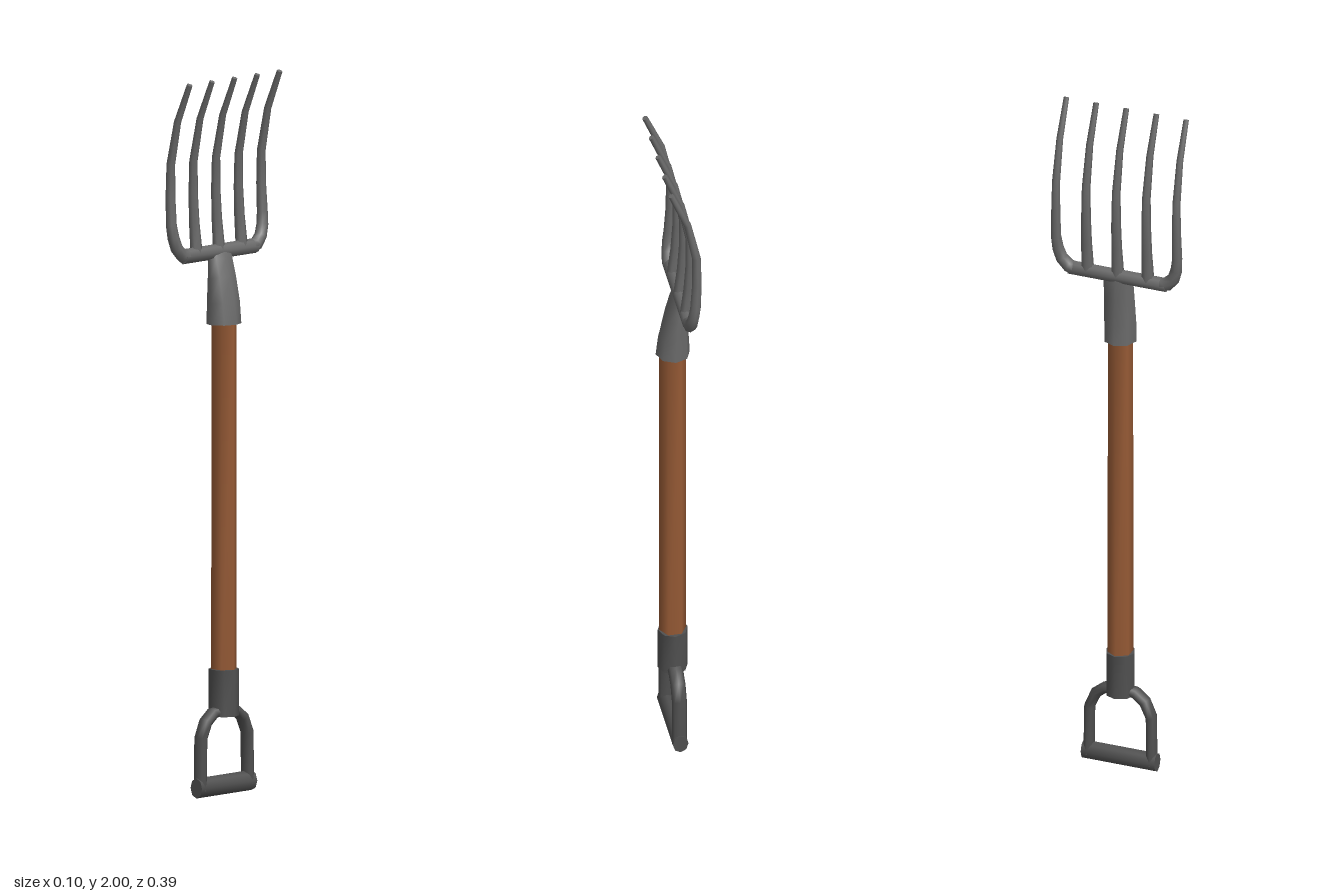
import * as THREE from 'three';

const steel = new THREE.MeshStandardMaterial({ color: 0x6a6a6a });
steel.name = 'forgedSteel';
const darkSteel = new THREE.MeshStandardMaterial({ color: 0x505050 });
darkSteel.name = 'darkGripMetal';
const wood = new THREE.MeshStandardMaterial({ color: 0x965a35 });
wood.name = 'shaftWood';

// Sweeps an elliptical ring along a path of [x, y, z, radiusAlongX, radiusAcross]
function sweep(name, material, path, sides) {
  const pts = path.map((p) => new THREE.Vector3(p[0], p[1], p[2]));
  const pos = [], idx = [], rings = [];
  pts.forEach((p, i) => {
    const dirIn = p.clone().sub(pts[Math.max(i - 1, 0)]).normalize();
    const dirOut = pts[Math.min(i + 1, pts.length - 1)].clone().sub(p).normalize();
    const t = dirIn.add(dirOut).normalize();
    const u = new THREE.Vector3(1, 0, 0).addScaledVector(t, -t.x).normalize();
    const v = t.clone().cross(u);
    const ring = [];
    for (let j = 0; j < sides; j++) {
      const a = (j / sides) * Math.PI * 2;
      ring.push(p.clone().addScaledVector(u, Math.cos(a) * path[i][3])
        .addScaledVector(v, Math.sin(a) * path[i][4]));
    }
    rings.push(ring);
    ring.forEach((q) => pos.push(q.x, q.y, q.z));
  });
  for (let i = 0; i < pts.length - 1; i++) {
    for (let j = 0; j < sides; j++) {
      const k = (j + 1) % sides;
      const a = i * sides + j, b = i * sides + k;
      idx.push(a, b, b + sides, a, b + sides, a + sides);
    }
  }
  // End caps get their own vertices so their rims stay sharp
  [0, pts.length - 1].forEach((r) => {
    const base = pos.length / 3;
    rings[r].forEach((q) => pos.push(q.x, q.y, q.z));
    for (let j = 1; j < sides - 1; j++) {
      if (r === 0) idx.push(base, base + j + 1, base + j);
      else idx.push(base, base + j, base + j + 1);
    }
  });
  const geo = new THREE.BufferGeometry();
  geo.setAttribute('position', new THREE.Float32BufferAttribute(pos, 3));
  geo.setIndex(idx);
  geo.computeVertexNormals();
  const mesh = new THREE.Mesh(geo, material);
  mesh.name = name;
  return mesh;
}

export function createModel() {
  const group = new THREE.Group();
  group.name = 'diggingFork';

  // Wooden shaft
  group.add(sweep('shaft', wood, [[0, 0.3, 0, 0.038, 0.036], [0, 1.34, 0, 0.038, 0.034]], 6));

  // Socket that flattens towards the crossbar
  group.add(sweep('socket', steel, [
    [0, 1.31, 0, 0.048, 0.048],
    [-0.002, 1.37, 0, 0.043, 0.048],
    [-0.008, 1.44, 0, 0.032, 0.046],
    [-0.014, 1.49, 0, 0.022, 0.045],
    [-0.017, 1.515, 0, 0.013, 0.042],
  ], 8));

  // Crossbar
  group.add(sweep('crossbar', steel, [
    [-0.018, 1.51, -0.145, 0.018, 0.021],
    [-0.018, 1.51, 0.145, 0.018, 0.021],
  ], 8));

  // Bowed profile shared by every tine: [x, y, radius]
  const bow = [
    [-0.027, 1.6, 0.015],
    [-0.031, 1.68, 0.0135],
    [-0.03, 1.77, 0.012],
    [-0.005, 1.89, 0.01],
    [0.041, 1.998, 0.008],
  ];

  // Three inner tines
  for (const z of [-0.09, 0, 0.09]) {
    group.add(sweep('innerTine', steel, [
      [-0.018, 1.51, z, 0.017, 0.018],
      ...bow.map(([x, y, r]) => [x, y, z, r, r]),
    ], 6));
  }

  // Outer tines turn up from the ends of the crossbar
  for (const s of [-1, 1]) {
    group.add(sweep('outerTine', steel, [
      [-0.018, 1.51, s * 0.13, 0.018, 0.021],
      [-0.018, 1.514, s * 0.147, 0.018, 0.02],
      [-0.02, 1.535, s * 0.167, 0.017, 0.018],
      [-0.023, 1.565, s * 0.177, 0.016, 0.017],
      ...bow.map(([x, y, r], i) => [x, y, s * (0.181 - i * 0.0005), r, r]),
    ], 8));
  }

  // Collar joining the shaft and the grip
  group.add(sweep('collar', darkSteel, [[0, 0.22, 0, 0.042, 0.042], [0, 0.35, 0, 0.042, 0.042]], 8));

  // D-shaped yoke
  for (const s of [-1, 1]) {
    group.add(sweep('yokeArm', darkSteel, [
      [0, 0.236, 0, 0.021, 0.016],
      [0, 0.23, s * 0.045, 0.021, 0.016],
      [0, 0.208, s * 0.073, 0.021, 0.016],
      [0, 0.165, s * 0.092, 0.021, 0.015],
      [0, 0.02, s * 0.094, 0.021, 0.015],
    ], 8));
  }

  // Hand grip
  group.add(sweep('handGrip', darkSteel, [
    [0, 0.028, -0.11, 0.022, 0.028],
    [0, 0.028, 0.11, 0.022, 0.028],
  ], 8));

  return group;
}
